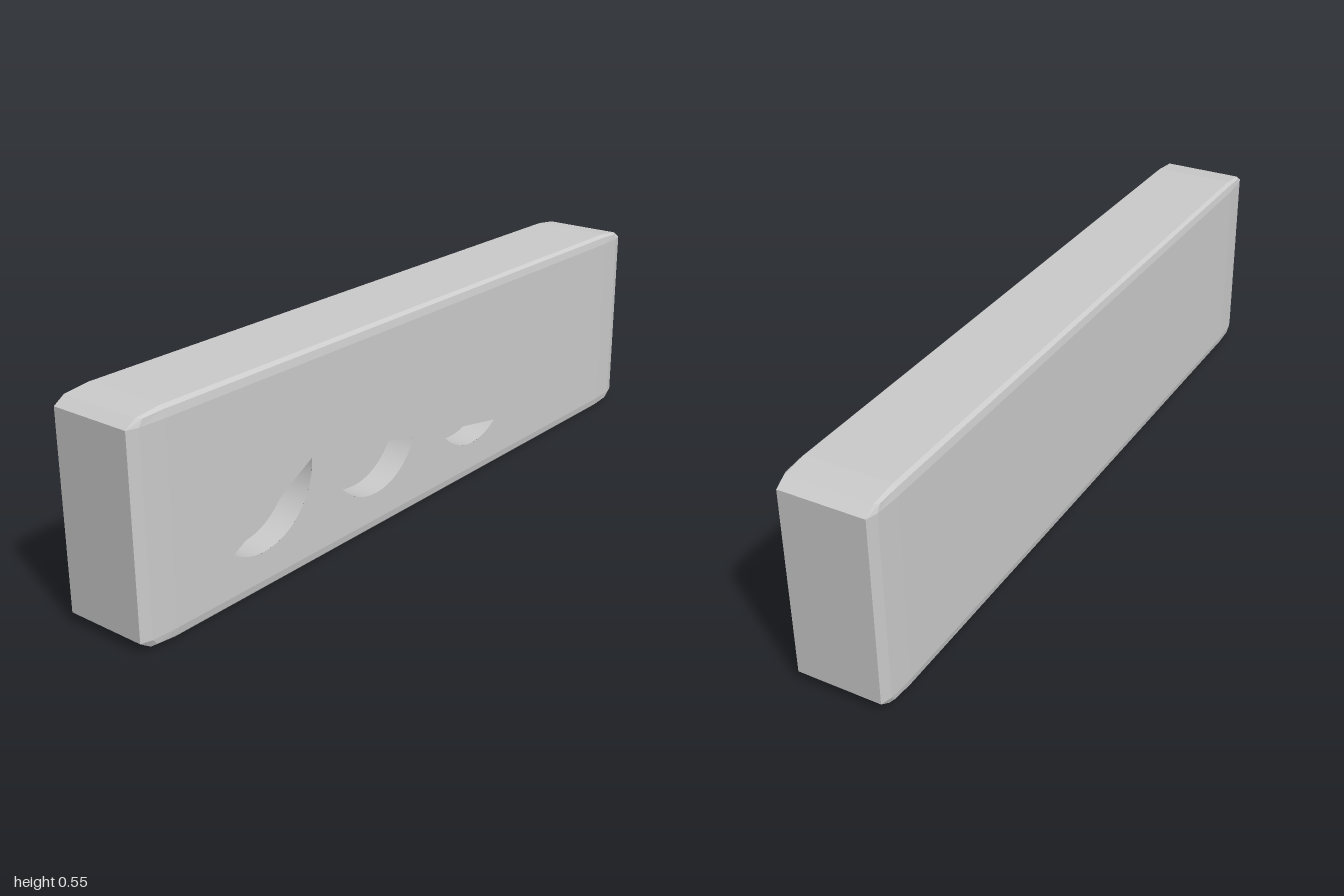
import * as THREE from 'three';
import { RoundedBoxGeometry } from 'three/addons/geometries/RoundedBoxGeometry.js';

const W = 0.248, H = 0.552, L = 2, BEVEL = 0.05;
const RADIUS = 0.175, DEPTH = 0.073;

// Round pockets: centre along the side (-z) and the angles of the open segment
const POCKETS = [
  { u: -0.62, from: -124.5, to: 1.5 },
  { u: -0.205, from: -177, to: -23.5 },
  { u: 0.22, from: -147, to: -53 },
];

// Bevelled unit box, stretched to size, without its flat +x panel
function shellGeometry() {
  const box = new RoundedBoxGeometry(1, 1, 1, 1, BEVEL);
  const src = box.index ? box.toNonIndexed() : box;
  const p = src.attributes.position;
  const kept = [];
  for (let i = 0; i < p.count; i += 3) {
    if ([0, 1, 2].every((k) => p.getX(i + k) > 0.4999)) continue;
    for (let k = 0; k < 3; k++) kept.push(p.getX(i + k), p.getY(i + k), p.getZ(i + k));
  }
  const geo = new THREE.BufferGeometry();
  geo.setAttribute('position', new THREE.Float32BufferAttribute(kept, 3));
  geo.scale(W, H, L).translate(0, H / 2, 0);
  geo.computeVertexNormals();
  return geo;
}

// Flat +x panel with circular-segment openings
function panelGeometry() {
  const a = L * (0.5 - BEVEL), b = H * (0.5 - BEVEL);
  const shape = new THREE.Shape([
    new THREE.Vector2(-a, -b), new THREE.Vector2(a, -b),
    new THREE.Vector2(a, b), new THREE.Vector2(-a, b),
  ]);
  for (const { u, from, to } of POCKETS) {
    const pts = [];
    for (let i = 0; i <= 24; i++) {
      const t = THREE.MathUtils.degToRad(from + ((to - from) * i) / 24);
      pts.push(new THREE.Vector2(u + RADIUS * Math.cos(t), RADIUS * Math.sin(t)));
    }
    shape.holes.push(new THREE.Path(pts));
  }
  return new THREE.ShapeGeometry(shape).rotateY(Math.PI / 2).translate(W / 2, H / 2, 0);
}

export function createModel() {
  const model = new THREE.Group();
  model.name = 'block';
  const flat = new THREE.MeshStandardMaterial({ color: 0xcccccc, flatShading: true });
  const inner = new THREE.MeshStandardMaterial({ color: 0xcccccc, side: THREE.BackSide });

  const add = (parent, name, geometry, material) => {
    const mesh = new THREE.Mesh(geometry, material);
    mesh.name = name;
    parent.add(mesh);
  };

  add(model, 'bevelledShell', shellGeometry(), flat);
  add(model, 'sidePanel', panelGeometry(), flat);

  // Blind cylindrical pockets behind the openings
  for (const { u } of POCKETS) {
    const pocket = new THREE.Group();
    pocket.name = 'pocket';
    pocket.position.set(W / 2, H / 2, -u);
    add(pocket, 'pocketWall',
      new THREE.CylinderGeometry(RADIUS, RADIUS, DEPTH, 64, 1, true)
        .rotateZ(Math.PI / 2).translate(-DEPTH / 2, 0, 0), inner);
    add(pocket, 'pocketFloor',
      new THREE.CircleGeometry(RADIUS, 64).rotateY(Math.PI / 2).translate(-DEPTH, 0, 0), flat);
    model.add(pocket);
  }
  return model;
}
